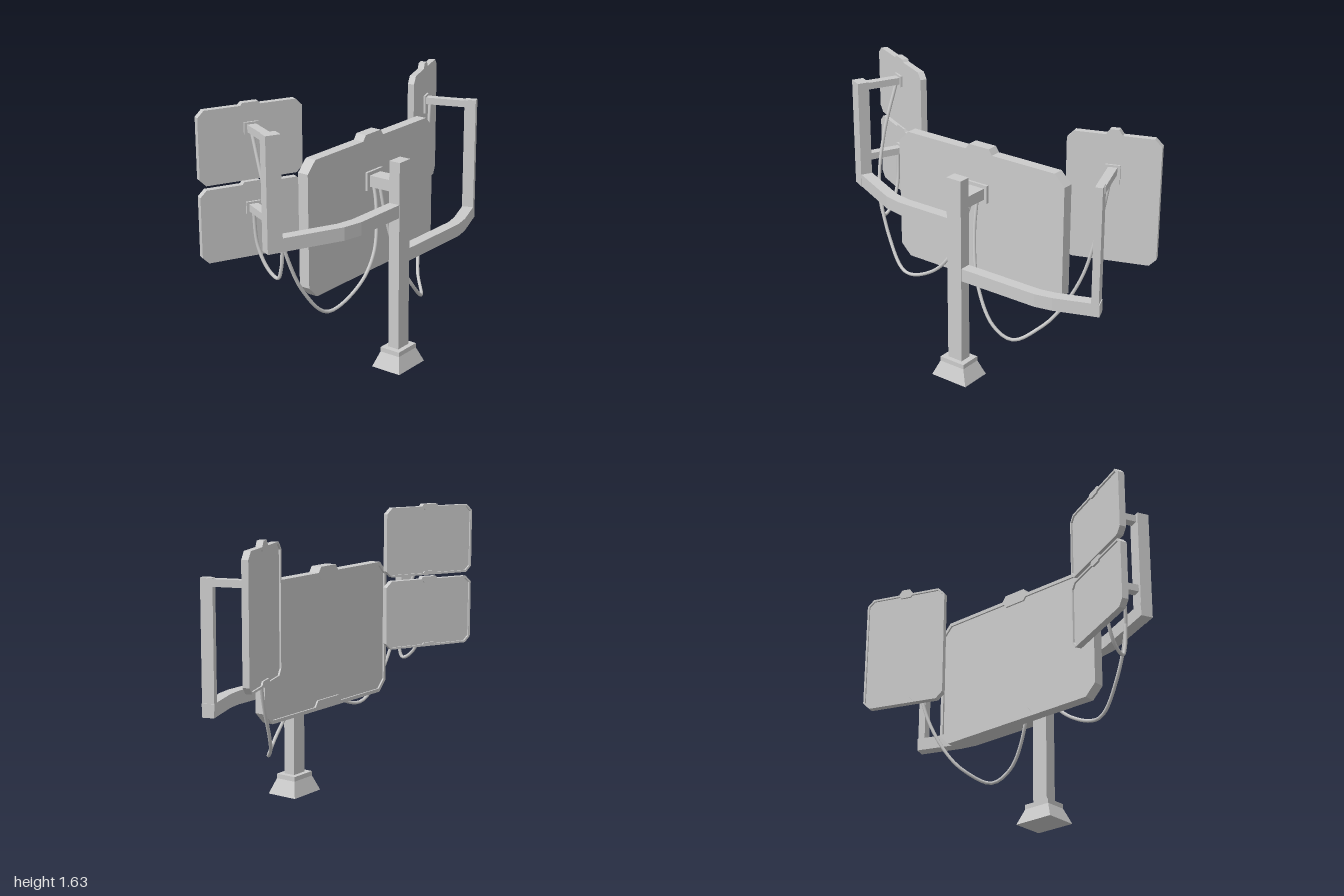
import * as THREE from 'three';

const grey = new THREE.MeshStandardMaterial({ color: 0xcccccc, flatShading: true });
const smooth = new THREE.MeshStandardMaterial({ color: 0xcccccc });

function add(parent, name, geometry, x = 0, y = 0, z = 0, material = grey) {
  const mesh = new THREE.Mesh(geometry, material);
  mesh.name = name;
  mesh.position.set(x, y, z);
  parent.add(mesh);
  return mesh;
}

// Box given by its limits on each axis
function box(parent, name, x0, x1, y0, y1, z0, z1) {
  return add(parent, name, new THREE.BoxGeometry(x1 - x0, y1 - y0, z1 - z0),
    (x0 + x1) / 2, (y0 + y1) / 2, (z0 + z1) / 2);
}

// Rectangle with cut corners; top and bottom tabs are [halfWidth, height], negative points inwards
function outline(w, h, cut, top, bottom) {
  const a = w / 2, b = h / 2;
  const pts = [[-a, cut - b], [cut - a, -b]];
  if (bottom) {
    const [t, d] = bottom, s = Math.abs(d) * 0.7;
    pts.push([-t, -b], [s - t, -b - d], [t - s, -b - d], [t, -b]);
  }
  pts.push([a - cut, -b], [a, cut - b], [a, b - cut], [a - cut, b]);
  if (top) {
    const [t, d] = top, s = Math.abs(d) * 0.7;
    pts.push([t, b], [t - s, b + d], [s - t, b + d], [-t, b]);
  }
  pts.push([cut - a, b], [-a, b - cut]);
  return pts.map(p => new THREE.Vector2(...p));
}

// Screen facing -x: solid back, raised rim around a recessed display
function screen(parent, name, o) {
  const group = new THREE.Group();
  group.name = name;
  group.position.set(...o.at);
  parent.add(group);
  const rimDepth = 0.01;
  const outer = outline(o.w, o.h, o.cut, o.tab);
  const layer = (part, shape, depth, x) => {
    const geo = new THREE.ExtrudeGeometry(shape, { depth, bevelEnabled: false });
    add(group, part, geo.rotateY(-Math.PI / 2), x);
  };
  layer('screenBody', new THREE.Shape(outer), o.t - rimDepth, o.t / 2);
  const rim = new THREE.Shape(outer);
  rim.holes.push(new THREE.Path(
    outline(o.w - 2 * o.rim, o.h - 2 * o.rim, o.cut * 0.8, o.topNotch, o.bottomNotch).reverse()));
  layer('screenRim', rim, rimDepth, rimDepth - o.t / 2);
}

// Horizontal beam following a plan path of [x, z] points, with mitred bends
function bentBeam(parent, name, path, width, y0, y1) {
  const pts = path.map(([x, z]) => new THREE.Vector2(x, -z));
  const left = [], right = [];
  pts.forEach((p, i) => {
    const d0 = pts[i].clone().sub(pts[Math.max(i - 1, 0)]).normalize();
    const d1 = pts[Math.min(i + 1, pts.length - 1)].clone().sub(p).normalize();
    const d = d0.add(d1).normalize();
    const n = new THREE.Vector2(-d.y, d.x).multiplyScalar(width / 2);
    left.push(p.clone().add(n));
    right.unshift(p.clone().sub(n));
  });
  const geo = new THREE.ExtrudeGeometry(new THREE.Shape([...left, ...right]),
    { depth: y1 - y0, bevelEnabled: false });
  add(parent, name, geo.rotateX(-Math.PI / 2), 0, y0, 0);
}

function cable(parent, name, pts) {
  const curve = new THREE.CatmullRomCurve3(pts.map(p => new THREE.Vector3(...p)));
  add(parent, name, new THREE.TubeGeometry(curve, 64, 0.01, 8), 0, 0, 0, smooth);
}

// Turned end of an arm: upright, brackets and screens
function sideStation(parent, name, o) {
  const g = new THREE.Group();
  g.name = name;
  g.position.set(o.x, 0, o.z);
  g.rotation.y = o.turn;
  parent.add(g);
  const p = o.upright;
  box(g, 'upright', p.x - 0.034, p.x + 0.034, p.y0, p.y1, -p.d / 2, p.d / 2);
  for (const s of o.screens) {
    screen(g, 'sideScreen', { ...s, at: [0, s.y, 0], t: 0.037, rim: 0.012 });
    box(g, 'bracketArm', 0.018, p.x, s.armY - 0.02, s.armY + 0.02, -0.025, 0.025);
    box(g, 'bracketPlate', 0.018, 0.03, s.armY - s.plate, s.armY + 0.032, -0.04, 0.04);
  }
}

export function createModel() {
  const model = new THREE.Group();
  model.name = 'screenStand';

  // Foot and mast
  const cx = 0.232, cz = -0.0135;
  const foot = new THREE.CylinderGeometry(Math.SQRT1_2, Math.SQRT1_2, 0.088, 4, 1).rotateY(Math.PI / 4);
  const pos = foot.attributes.position;
  for (let i = 0; i < pos.count; i++) {
    const up = pos.getY(i) > 0;
    pos.setX(i, pos.getX(i) * (up ? 0.128 : 0.19));
    pos.setZ(i, pos.getZ(i) * (up ? 0.165 : 0.241));
  }
  add(model, 'foot', foot, cx, 0.044, cz);
  box(model, 'footCollar', cx - 0.064, cx + 0.064, 0.088, 0.115, cz - 0.0825, cz + 0.0825);
  box(model, 'mast', 0.197, 0.267, 0.1, 1.215, -0.062, 0.035);

  // Main screen and its mount
  screen(model, 'mainScreen', {
    at: [0.0175, 0.92, -0.0165], w: 1.135, h: 0.77, cut: 0.065, t: 0.065, rim: 0.02,
    tab: [0.09, 0.032], topNotch: [0.08, -0.02], bottomNotch: [0.12, -0.035],
  });
  box(model, 'mountPlate', 0.05, 0.065, 1.02, 1.125, -0.083, 0.056);
  box(model, 'mountArm', 0.05, 0.2, 1.04, 1.105, -0.063, 0.034);

  // Two bent arms
  bentBeam(model, 'leftArm', [[0.232, 0], [0.232, 0.37], [0.21, 0.48], [0.028, 0.872]], 0.067, 0.9, 0.975);
  bentBeam(model, 'rightArm', [[0.232, 0], [0.232, -0.55], [0.212, -0.645], [0.123, -0.884]], 0.067, 0.62, 0.695);

  // Pair of stacked small screens
  const small = {
    w: 0.58, h: 0.4, cut: 0.035, tab: [0.055, 0.014],
    topNotch: [0.04, -0.01], bottomNotch: [0.04, -0.01], plate: 0.032,
  };
  sideStation(model, 'leftStation', {
    x: -0.19, z: 0.725, turn: -0.44,
    upright: { x: 0.261, d: 0.085, y0: 0.9, y1: 1.53 },
    screens: [
      { ...small, y: 1.42, armY: 1.5 },
      { ...small, y: 0.996, armY: 1.07 },
    ],
  });

  // Single tall screen
  sideStation(model, 'rightStation', {
    x: -0.146, z: -0.76, turn: 0.345,
    upright: { x: 0.295, d: 0.041, y0: 0.62, y1: 1.355 },
    screens: [{
      w: 0.507, h: 0.72, y: 1.165, cut: 0.04, tab: [0.045, 0.03],
      topNotch: [0.04, -0.012], bottomNotch: [0.06, -0.02], armY: 1.33, plate: 0.075,
    }],
  });

  // Hanging cables
  cable(model, 'leftLongCable', [
    [-0.16, 1.49, 0.745], [-0.06, 1.19, 0.765], [0.025, 0.9, 0.735], [0.07, 0.62, 0.63],
    [0.115, 0.46, 0.48], [0.148, 0.545, 0.24], [0.145, 0.7, 0.1], [0.1, 0.95, 0.025], [0.07, 1.06, 0.01]]);
  cable(model, 'leftShortCable', [
    [-0.16, 1.07, 0.745], [-0.14, 0.86, 0.74], [-0.07, 0.735, 0.735], [-0.01, 0.705, 0.735],
    [0.015, 0.77, 0.735], [0.025, 0.9, 0.735]]);
  cable(model, 'rightCable', [
    [-0.1, 1.32, -0.775], [-0.08, 1, -0.72], [-0.05, 0.7, -0.645], [0, 0.47, -0.53], [0.055, 0.37, -0.45],
    [0.16, 0.3, -0.34], [0.198, 0.37, -0.23], [0.17, 0.58, -0.1], [0.12, 0.85, -0.04], [0.08, 1.06, -0.03]]);

  return model;
}
